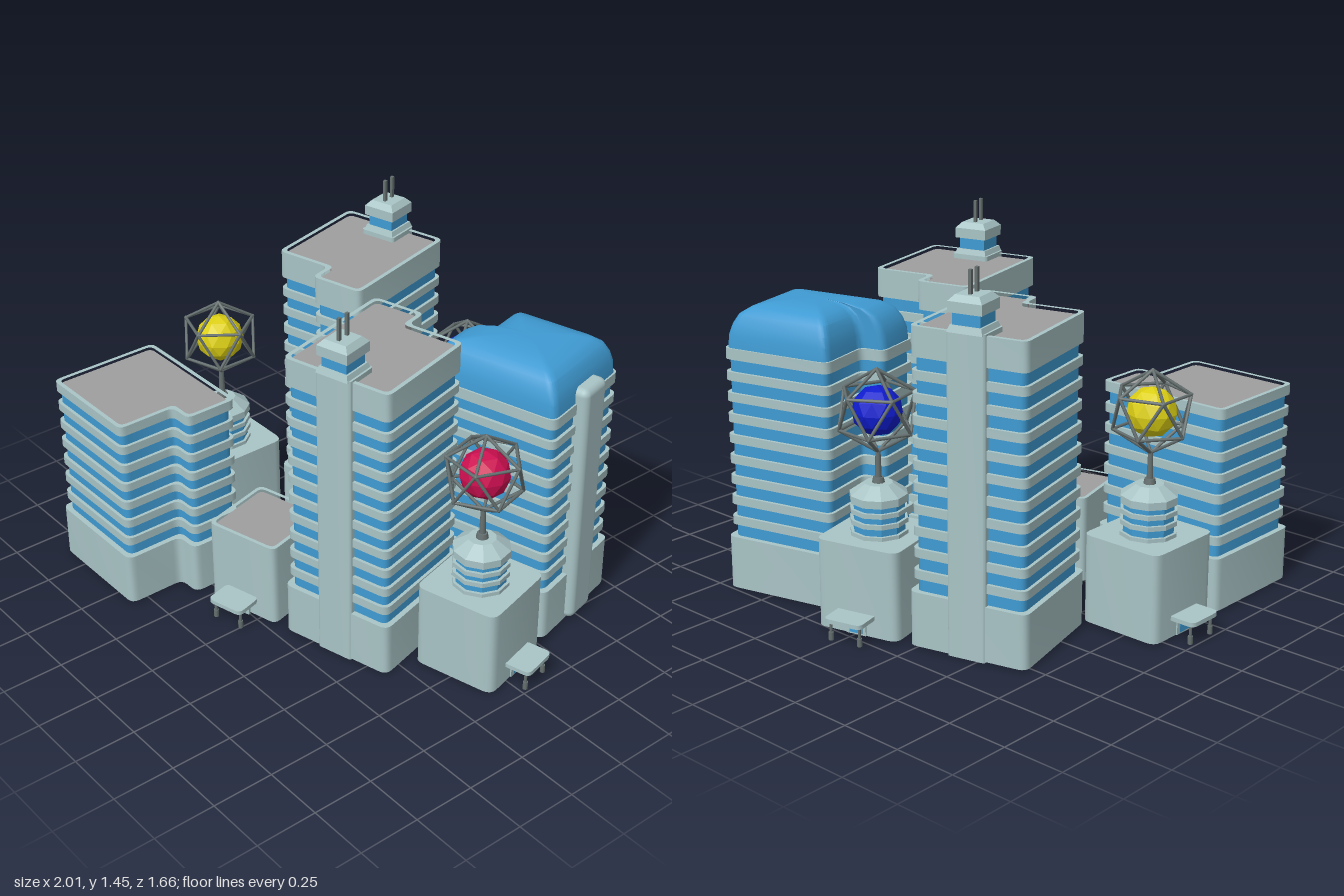
import * as THREE from 'three';
import { toCreasedNormals } from 'three/addons/utils/BufferGeometryUtils.js';
import { RoundedBoxGeometry } from 'three/addons/geometries/RoundedBoxGeometry.js';

const mat = (color, flatShading = false) => new THREE.MeshStandardMaterial({ color, flatShading });
const WALL = mat(0xa9c4c6), GLASS = mat(0x3f9bd3), ROOF = mat(0x9f9f9f), METAL = mat(0x667070);
const WALL_FLAT = mat(0xa9c4c6, true), GLASS_FLAT = mat(0x3f9bd3, true);
const TILT = 0.25, BASE = 0.22, FLOOR = 0.0845, WINDOW = 0.05;

function add(parent, name, geometry, material, x = 0, y = 0, z = 0) {
  const mesh = new THREE.Mesh(geometry, material);
  mesh.name = name;
  mesh.position.set(x, y, z);
  parent.add(mesh);
  return mesh;
}

// Closed outline of [x, z] corners, each rounded by radius r
function outline(corners, r, Type = THREE.Shape) {
  const shape = new Type();
  const pts = corners.map(([x, z]) => new THREE.Vector2(x, -z));
  pts.forEach((p, i) => {
    const prev = pts[(i + pts.length - 1) % pts.length], next = pts[(i + 1) % pts.length];
    const a = p.clone().add(prev.clone().sub(p).setLength(r));
    const b = p.clone().add(next.clone().sub(p).setLength(r));
    if (i === 0) shape.moveTo(a.x, a.y); else shape.lineTo(a.x, a.y);
    shape.quadraticCurveTo(p.x, p.y, b.x, b.y);
  });
  return shape;
}

// Upright prism of an outline from y0 to y1
function prism(shape, y0, y1) {
  const g = new THREE.ExtrudeGeometry(shape, { depth: y1 - y0, bevelEnabled: false, curveSegments: 4 });
  g.rotateX(-Math.PI / 2).translate(0, y0, 0);
  return toCreasedNormals(g, 0.6);
}

// L-shaped floor plan, drawn in by i on every side
function planL(i) {
  const w = 0.243 - i, d = 0.295 - i, step = 0.195 - i;
  return [[-w, -d], [w, -d], [w, d], [i, d], [i, step], [-w, step]];
}
const rect = (w, d) => [[-w / 2, -d / 2], [w / 2, -d / 2], [w / 2, d / 2], [-w / 2, d / 2]];

// Solid up to a sunken roof, with a rim round it
function cappedBlock(parent, name, plan, inner, y0, y1) {
  const rim = outline(plan, 0.03);
  rim.holes.push(outline(inner, 0.025, THREE.Path));
  add(parent, name, prism(rim, y0, y1), WALL);
  add(parent, 'roof', prism(outline(inner, 0.025), y0, y1 - 0.012), ROOF);
}

// Curved glass roof: the floor plan shrunk ring by ring
function domeGeometry(y) {
  const ring = outline(planL(0.016), 0.035).getPoints(4);
  const levels = [[1, 0], [0.985, 0.05], [0.94, 0.09], [0.86, 0.128], [0.72, 0.153], [0.5, 0.168], [0.25, 0.174], [0, 0.175]];
  const n = ring.length, pos = [], idx = [];
  for (const [s, h] of levels)
    for (const p of ring) pos.push(p.x * s, y + h, -0.02 + (-p.y + 0.02) * s);
  for (let k = 0; k < levels.length - 1; k++)
    for (let i = 0; i < n; i++) {
      const a = k * n + i, b = k * n + (i + 1) % n;
      idx.push(a, b + n, b, a, a + n, b + n);
    }
  const g = new THREE.BufferGeometry();
  g.setAttribute('position', new THREE.Float32BufferAttribute(pos, 3));
  g.setIndex(idx);
  return toCreasedNormals(g, 0.5);
}

// Lift shaft with a glazed lookout and two aerials
function liftTower(parent) {
  add(parent, 'liftShaft', prism(outline(rect(0.155, 0.14), 0.012), 0, 1.235), WALL, 0, 0, -0.23);
  const head = new THREE.Group();
  head.name = 'lookout';
  head.position.z = -0.235;
  parent.add(head);
  const frustum = (top, bottom, h) =>
    new THREE.CylinderGeometry(top * Math.SQRT1_2, bottom * Math.SQRT1_2, h, 4).rotateY(Math.PI / 4);
  add(head, 'collar', frustum(0.125, 0.142, 0.025), WALL_FLAT, 0, 1.242, 0);
  add(head, 'lookoutGlass', new THREE.BoxGeometry(0.11, 0.05, 0.11), GLASS, 0, 1.278, 0);
  add(head, 'lookoutCap', new THREE.BoxGeometry(0.135, 0.04, 0.135), WALL, 0, 1.32, 0);
  add(head, 'lookoutRoof', frustum(0.095, 0.135, 0.022), WALL_FLAT, 0, 1.351, 0);
  for (const z of [-0.024, 0.024])
    add(head, 'aerial', new THREE.BoxGeometry(0.012, 0.09, 0.014), METAL, 0, 1.405, z);
}

// Office block: podium, alternating windows and slabs, then a top
function officeBlock(name, x, z, turn, floors, top) {
  const g = new THREE.Group();
  g.name = name;
  g.position.set(x, 0, z);
  g.rotation.y = turn;
  add(g, 'podium', prism(outline(planL(0), 0.035), 0.005, BASE), WALL);
  const lastWindow = BASE + (floors - 1) * FLOOR + WINDOW;
  add(g, 'windows', prism(outline(planL(0.022), 0.03), BASE, lastWindow), GLASS);
  for (let i = 0; i < floors - 1; i++) {
    const y = BASE + i * FLOOR + WINDOW;
    add(g, 'floorSlab', prism(outline(planL(0.009), 0.035), y, y + FLOOR - WINDOW), WALL);
  }
  if (top === 'dome') {
    add(g, 'topSlab', prism(outline(planL(0.009), 0.035), lastWindow, 0.99), WALL);
    add(g, 'glassDome', domeGeometry(0.99), GLASS);
    add(g, 'liftShaft', new RoundedBoxGeometry(0.155, 1.045, 0.13, 3, 0.03), WALL, 0, 0.5275, -0.262);
  } else {
    cappedBlock(g, 'topSlab', planL(0.009), planL(0.026), lastWindow, top);
    if (top > 1) liftTower(g);
  }
  return g;
}

// Entrance canopy on posts, with a door, on the +z side
function porch(parent, turn) {
  const g = new THREE.Group();
  g.name = 'porch';
  g.rotation.y = turn;
  parent.add(g);
  const canopy = [[-0.08, 0.16], [0.08, 0.16], [0.08, 0.28], [-0.08, 0.28]];
  add(g, 'canopy', prism(outline(canopy, 0.025), 0.076, 0.093), WALL);
  add(g, 'doorFrame', new THREE.BoxGeometry(0.085, 0.075, 0.01), WALL, 0, 0.0425, 0.175);
  add(g, 'door', new THREE.BoxGeometry(0.056, 0.056, 0.01), GLASS, 0, 0.04, 0.178);
  for (const x of [-0.062, 0.062]) {
    add(g, 'post', new THREE.CylinderGeometry(0.006, 0.006, 0.08, 8), METAL, x, 0.04, 0.255);
    add(g, 'postFoot', new THREE.CylinderGeometry(0.01, 0.01, 0.032, 8), METAL, x, 0.016, 0.255);
  }
}

// Faceted ball held in an open icosahedral cage on a glazed drum
function beacon(parent, color) {
  const drum = (name, top, bottom, y0, y1, m) =>
    add(parent, name, new THREE.CylinderGeometry(top, bottom, y1 - y0, 10), m, 0, (y0 + y1) / 2, 0);
  drum('drumGlass', 0.1, 0.1, 0.355, 0.5, GLASS_FLAT);
  for (const [y0, y1] of [[0.355, 0.372], [0.402, 0.42], [0.445, 0.463], [0.485, 0.515]])
    drum('drumSlab', 0.112, 0.112, y0, y1, WALL_FLAT);
  drum('drumRoof', 0.055, 0.112, 0.515, 0.555, WALL_FLAT);
  drum('poleFoot', 0.02, 0.026, 0.55, 0.575, METAL);
  drum('pole', 0.01, 0.013, 0.57, 0.68, METAL);
  // Stand both icosahedra on a corner
  const upright = -Math.atan(2 / (1 + Math.sqrt(5)));
  const y = 0.835, r = 0.16;
  add(parent, 'ball', new THREE.IcosahedronGeometry(0.097, 1).rotateZ(upright), mat(color, true), 0, y, 0);
  const cage = new THREE.Group();
  cage.name = 'cage';
  cage.position.y = y;
  parent.add(cage);
  const p = new THREE.EdgesGeometry(new THREE.IcosahedronGeometry(r, 0).rotateZ(upright)).attributes.position;
  for (let i = 0; i < p.count; i += 2) {
    const a = new THREE.Vector3().fromBufferAttribute(p, i);
    const b = new THREE.Vector3().fromBufferAttribute(p, i + 1);
    add(cage, 'cageBar', new THREE.TubeGeometry(new THREE.LineCurve3(a, b), 1, 0.0065, 6), METAL);
    add(cage, 'cageJoint', new THREE.SphereGeometry(0.0075, 6, 4), METAL, a.x, a.y, a.z);
  }
}

// Low entrance hall, topped by a beacon or a plain roof
function hall(name, x, z, turn, porchTurn, color) {
  const g = new THREE.Group();
  g.name = name;
  g.position.set(x, 0, z);
  g.rotation.y = turn;
  const size = color === undefined ? 0.325 : 0.35;
  if (color === undefined) {
    cappedBlock(g, 'hallBody', rect(size, size), rect(size - 0.03, size - 0.03), 0.005, 0.357);
  } else {
    add(g, 'hallBody', prism(outline(rect(size, size), 0.04), 0.005, 0.357), WALL);
    beacon(g, color);
  }
  porch(g, porchTurn);
  return g;
}

export function createModel() {
  const model = new THREE.Group();
  model.name = 'officeComplex';
  const q = Math.PI / 2;
  model.add(
    officeBlock('backTower', -0.38, -0.31, TILT, 11, 1.228),
    officeBlock('frontTower', 0.283, 0.105, TILT + 2 * q, 11, 1.228),
    officeBlock('lowOffice', -0.592, 0.583, q, 7, 0.818),
    officeBlock('domedOffice', 0.465, -0.44, TILT - q, 9, 'dome'),
    hall('yellowBeaconHall', -0.722, 0.12, 0, -q, 0xdccf14),
    hall('redBeaconHall', 0.717, -0.022, TILT, q, 0xcc0f50),
    hall('blueBeaconHall', 0.035, -0.552, TILT, 2 * q, 0x0f1ccf),
    hall('frontHall', -0.125, 0.347, TILT, 0),
  );
  return model;
}
